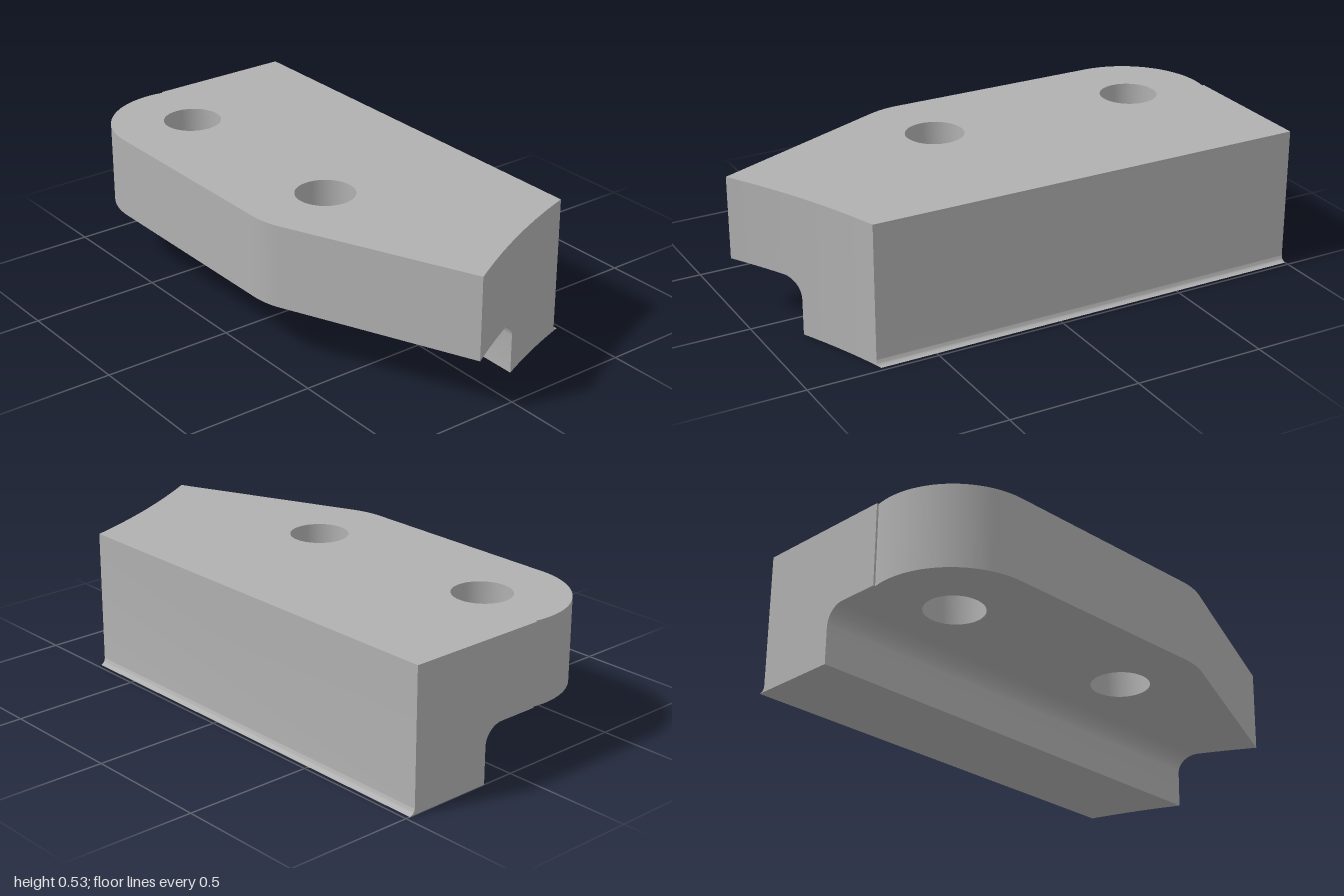
import * as THREE from 'three';
import { toCreasedNormals } from 'three/addons/utils/BufferGeometryUtils.js';

const TOP = 0.533, LEDGE = 0.215, SEAM = 0.055, BACK = -1;

// z of the slightly hollow front face at a given x
const frontZ = (x) => 1 - 0.447 * (x + 0.155) + 0.23 * (x + 0.155) * (x - 0.483);

// Flat plate with a rounded back corner, a slanted front and two bolt holes
function plateGeometry() {
  const s = new THREE.Shape(); // shape y is -z
  s.moveTo(SEAM, -BACK);
  s.lineTo(-0.105, -BACK);
  s.absarc(-0.168, 0.68, 0.318, 1.37, Math.PI, false);
  s.absarc(-0.168, -0.166, 0.318, Math.PI, Math.PI + 0.406, false);
  for (let i = 0; i <= 8; i++) {
    const x = -0.155 + (SEAM + 0.155) * i / 8;
    s.lineTo(x, -frontZ(x));
  }
  s.closePath();
  for (const z of [-0.685, 0.167]) {
    s.holes.push(new THREE.Path().absarc(-0.168, -z, 0.111, 0, Math.PI * 2, true));
  }
  const g = new THREE.ExtrudeGeometry(s, { depth: TOP - LEDGE, bevelEnabled: false, curveSegments: 32 });
  g.rotateX(-Math.PI / 2).translate(0, LEDGE, 0);

  // Leave the seam with the rail open, so no wall is hidden inside
  const p = g.toNonIndexed ? (g.index ? g.toNonIndexed() : g).attributes.position : null;
  const kept = [];
  for (let i = 0; i < p.count; i += 3) {
    const ids = [i, i + 1, i + 2];
    if (ids.every((k) => Math.abs(p.getX(k) - SEAM) < 1e-5)) continue;
    for (const k of ids) kept.push(p.getX(k), p.getY(k), p.getZ(k));
  }
  return smooth(kept);
}

// Rail with an inner fillet, a downward leg and a thin flared lip
function railGeometry() {
  const stations = []; // [x, bottom, top]
  const N = 12;
  for (let i = 0; i <= N; i++) {
    const a = Math.PI / 2 * i / N;
    stations.push([SEAM + 0.075 * Math.sin(a), LEDGE - 0.075 * (1 - Math.cos(a)), TOP]);
  }
  for (let i = 0; i <= N; i++) stations.push([0.13 + 0.33 * i / N, 0, TOP]);
  for (let i = 0; i <= 8; i++) {
    const a = Math.PI / 2 * i / 8;
    stations.push([0.483 - 0.023 * Math.cos(a), 0, 0.024 * (1 - Math.sin(a))]);
  }
  const ring = ([x, lo, hi]) => [
    [x, lo, frontZ(x)], [x, hi, frontZ(x)], [x, hi, BACK], [x, lo, BACK],
  ].map((c) => new THREE.Vector3(...c));
  const out = [];
  const tri = (a, b, c) => {
    if (new THREE.Triangle(a, b, c).getArea() > 1e-9) for (const v of [a, b, c]) out.push(v.x, v.y, v.z);
  };
  for (let i = 0; i + 1 < stations.length; i++) {
    const A = ring(stations[i]), B = ring(stations[i + 1]);
    for (let k = 0; k < 4; k++) {
      const n = (k + 1) % 4;
      tri(A[k], B[k], B[n]);
      tri(A[k], B[n], A[n]);
    }
  }
  return smooth(out);
}

function smooth(coords) {
  const g = new THREE.BufferGeometry();
  g.setAttribute('position', new THREE.Float32BufferAttribute(coords, 3));
  return toCreasedNormals(g, 0.4);
}

export function createModel() {
  const metal = new THREE.MeshStandardMaterial({ color: 0xb0b0b0 });
  metal.name = 'grey metal';
  const group = new THREE.Group();
  group.name = 'clampBlock';
  for (const [name, geometry] of [['drilledPlate', plateGeometry()], ['rail', railGeometry()]]) {
    const mesh = new THREE.Mesh(geometry, metal);
    mesh.name = name;
    group.add(mesh);
  }
  return group;
}
